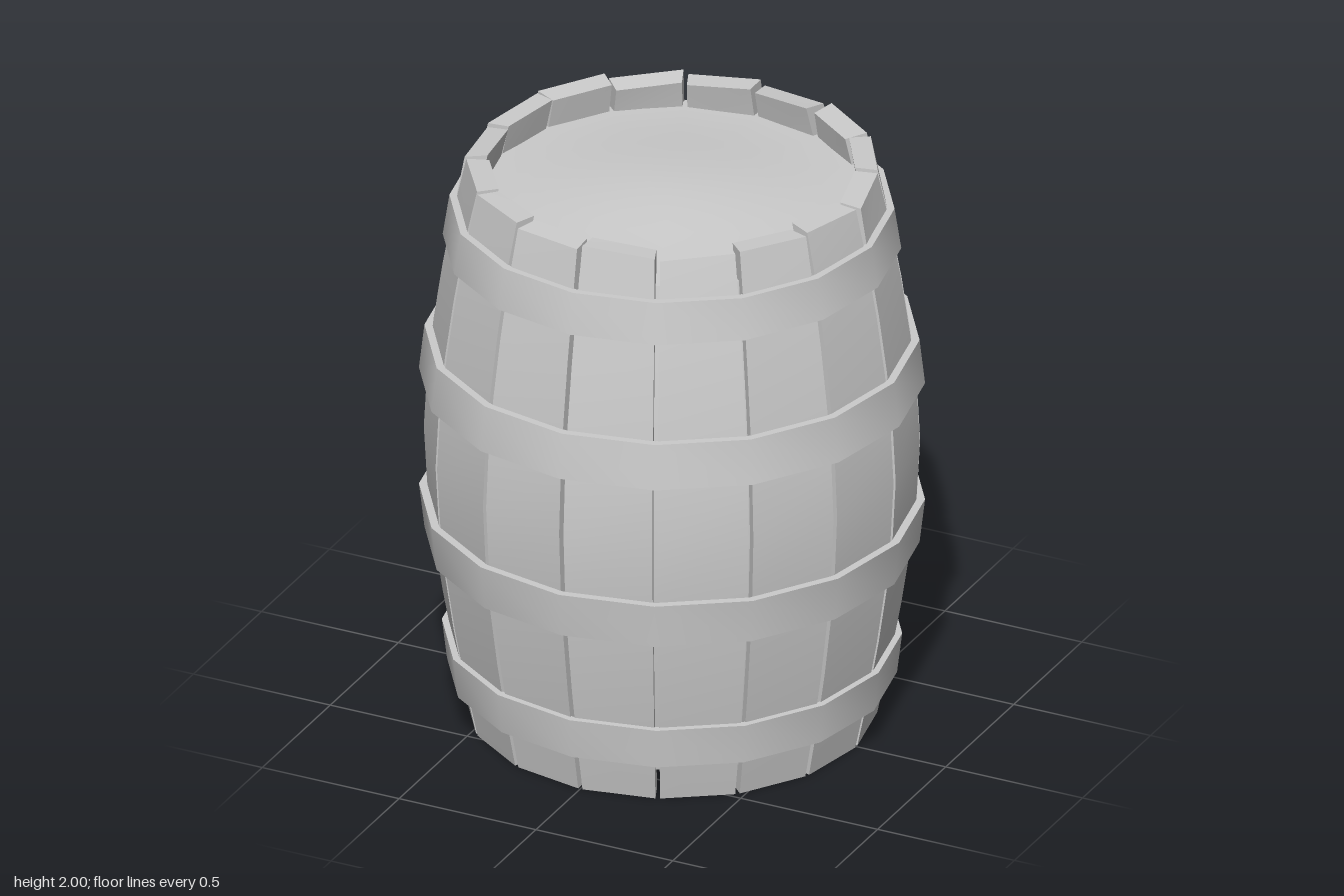
import * as THREE from 'three';
import { toCreasedNormals } from 'three/addons/utils/BufferGeometryUtils.js';

const SIDES = 16;
const HALF = Math.PI / SIDES;
const THICK = 0.075;

// Bulging barrel profile: outer corner radius at height y
const radiusAt = (y) => 0.815 - 0.14 * Math.pow(Math.abs(y - 1), 1.6);

// Small seeded random source
function seeded(seed) {
  return () => {
    seed = (seed * 16807) % 2147483647;
    return seed / 2147483647;
  };
}

export function createModel() {
  const barrel = new THREE.Group();
  barrel.name = 'barrel';
  const material = new THREE.MeshStandardMaterial({ color: 0xcccccc });
  const rand = seeded(4127);
  const spread = (size) => (rand() * 2 - 1) * size;

  const add = (parent, name, geometry) => {
    const mesh = new THREE.Mesh(geometry, material);
    mesh.name = name;
    parent.add(mesh);
    return mesh;
  };

  // Stave: a box bent along the profile, with an uneven sawn top
  const makeStave = () => {
    const geo = new THREE.BoxGeometry(1, 2, 1, 1, 10, 1);
    const pos = geo.attributes.position;
    const drop = rand() * 0.012;
    const tilt = spread(0.009);
    const slope = spread(0.008);
    const lean = spread(0.008);
    const twist = spread(0.007);
    for (let i = 0; i < pos.count; i++) {
      const side = Math.sign(pos.getX(i));
      const face = Math.sign(pos.getZ(i));
      const y = pos.getY(i) + 1;
      const r = radiusAt(y) - (face > 0 ? 0 : THICK);
      const top = y > 1.99 ? 1 : 0;
      const cut = top * (drop + Math.abs(tilt) + Math.abs(slope) + side * tilt + face * slope);
      const shift = top * (lean + side * twist);
      pos.setXYZ(i, side * (r * Math.sin(HALF) - 0.008), y - cut, r * Math.cos(HALF) + shift);
    }
    return toCreasedNormals(geo, 0.5);
  };

  const staves = new THREE.Group();
  staves.name = 'staves';
  barrel.add(staves);
  for (let i = 0; i < SIDES; i++) {
    add(staves, 'stave', makeStave()).rotation.y = (2 * i + 1) * HALF;
  }

  // Hoops: [bottom y, top y, bottom outer radius, top outer radius]
  const hoops = new THREE.Group();
  hoops.name = 'hoops';
  barrel.add(hoops);
  const bands = [
    [0.147, 0.29, 0.738, 0.755],
    [0.628, 0.785, 0.812, 0.83],
    [1.212, 1.37, 0.83, 0.812],
    [1.706, 1.85, 0.752, 0.73],
  ];
  for (const [y0, y1, r0, r1] of bands) {
    const section = [[r0, y0], [r1, y1], [r1 - 0.028, y1], [r0 - 0.028, y0], [r0, y0]];
    const geo = new THREE.LatheGeometry(section.map(([x, y]) => new THREE.Vector2(x, y)), SIDES);
    add(hoops, 'hoop', toCreasedNormals(geo, 0.6));
  }

  // Inner core: gently domed lids and the backing behind the stave gaps
  const low = 0.1, high = 1.88, steps = 8;
  const lid = (edgeY, rise) => Array.from({ length: steps }, (_, i) => {
    const t = i / steps;
    const swell = 0.5 + 0.5 * Math.cos(Math.PI * t);
    return new THREE.Vector2(t * (radiusAt(edgeY) - 0.035), edgeY + rise * swell);
  });
  const wall = Array.from({ length: steps + 1 }, (_, i) => {
    const y = low + ((high - low) * i) / steps;
    return new THREE.Vector2(radiusAt(y) - 0.035, y);
  });
  const profile = [...lid(low, -0.065), ...wall, ...lid(high, 0.045).reverse()];
  add(barrel, 'lidsAndCore', toCreasedNormals(new THREE.LatheGeometry(profile, SIDES), 0.6));

  return barrel;
}
